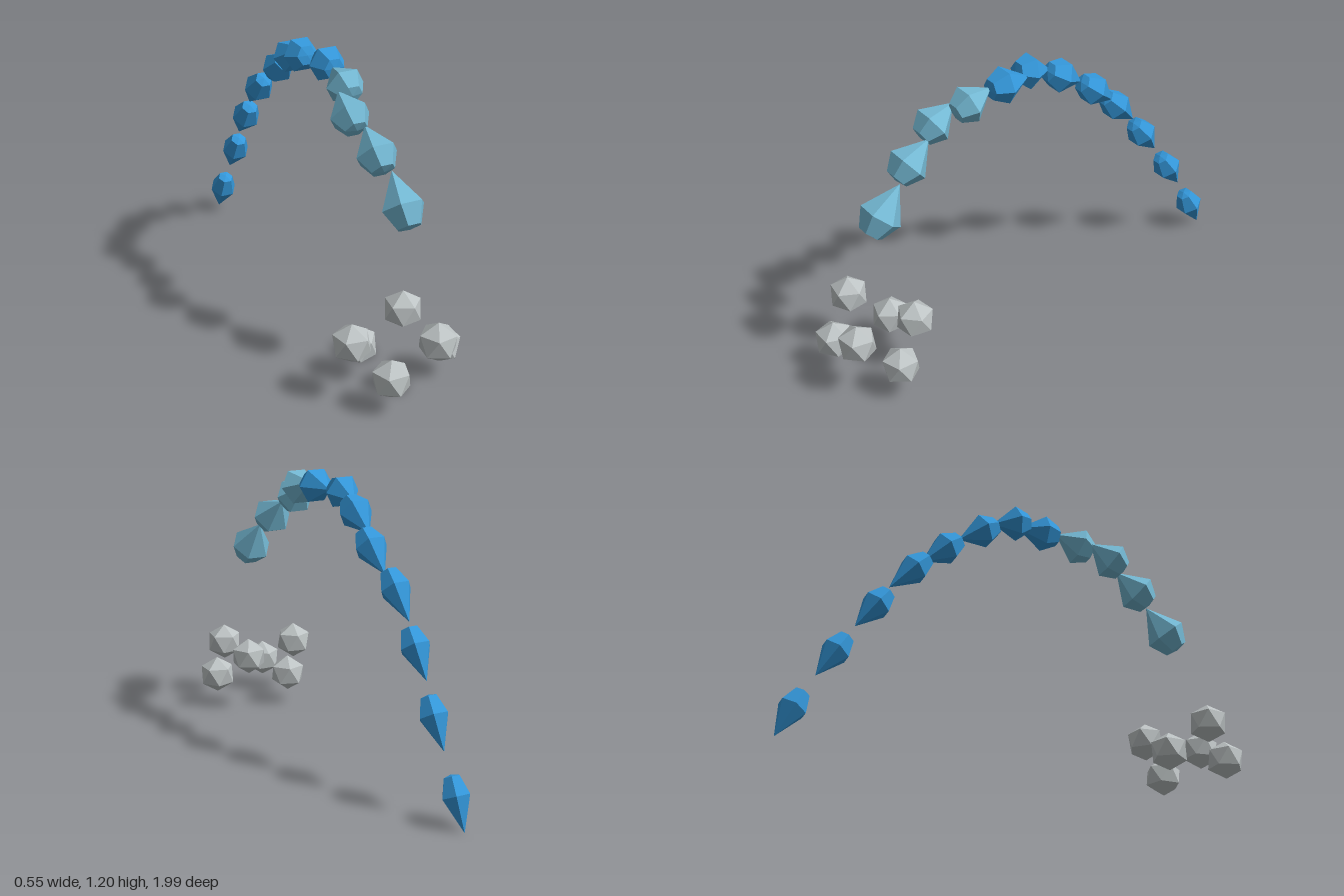
import * as THREE from 'three';

const mat = (name, color) => {
  const m = new THREE.MeshStandardMaterial({ color, flatShading: true });
  m.name = name;
  return m;
};

// Six-sided drop: pointed tail at -y, blunt head at +y, widest ring at the origin
function dropGeometry(radius, length) {
  const profile = [
    [0, -0.62], [1, 0], [0.57, 0.34], [0, 0.38],
  ].map(([r, y]) => new THREE.Vector2(r * radius, y * length));
  return new THREE.LatheGeometry(profile, 6, Math.PI / 2);
}

export function createModel() {
  const model = new THREE.Group();
  model.name = 'waterArc';
  const paleBlue = mat('pale blue', 0x74b9d4);
  const blue = mat('blue', 0x3498db);
  const grey = mat('mist grey', 0xbdc3c4);

  // Arc of drops: x, head z, head y, tail z, tail y, radius
  const drops = [
    [0.035, 0.79, 0.70, 0.64, 0.88, 0.09],
    [0.003, 0.64, 0.88, 0.48, 1.01, 0.087],
    [-0.037, 0.495, 1.00, 0.335, 1.105, 0.084],
    [0.012, 0.365, 1.085, 0.19, 1.145, 0.081],
    [0.018, 0.205, 1.14, 0.01, 1.14, 0.077],
    [-0.024, 0.045, 1.15, -0.125, 1.11, 0.075],
    [-0.005, -0.10, 1.115, -0.275, 1.01, 0.073],
    [0.015, -0.26, 1.02, -0.43, 0.88, 0.07],
    [-0.01, -0.41, 0.89, -0.575, 0.72, 0.066],
    [-0.007, -0.575, 0.70, -0.71, 0.52, 0.065],
    [0.003, -0.735, 0.475, -0.855, 0.285, 0.063],
    [0, -0.90, 0.21, -1.0, 0.01, 0.061],
  ];
  drops.forEach(([x, hz, hy, tz, ty, r], i) => {
    const dy = hy - ty, dz = hz - tz;
    const drop = new THREE.Mesh(dropGeometry(r, Math.hypot(dy, dz)), i < 4 ? paleBlue : blue);
    drop.name = `drop${i + 1}`;
    drop.position.set(x, hy - 0.38 * dy, hz - 0.38 * dz);
    drop.rotation.x = Math.atan2(dz, dy);
    model.add(drop);
  });

  // Ring of mist puffs, alternately low and high
  const puffGeometry = new THREE.IcosahedronGeometry(0.083, 0);
  for (let i = 0; i < 6; i++) {
    const a = (i * Math.PI) / 3;
    const puff = new THREE.Mesh(puffGeometry, grey);
    puff.name = `mistPuff${i + 1}`;
    puff.position.set(0.2 * Math.cos(a), i % 2 ? 0.265 : 0.155, 0.78 + 0.156 * Math.sin(a));
    puff.rotation.set(0, i * 1.1, 0.55);
    model.add(puff);
  }
  return model;
}
